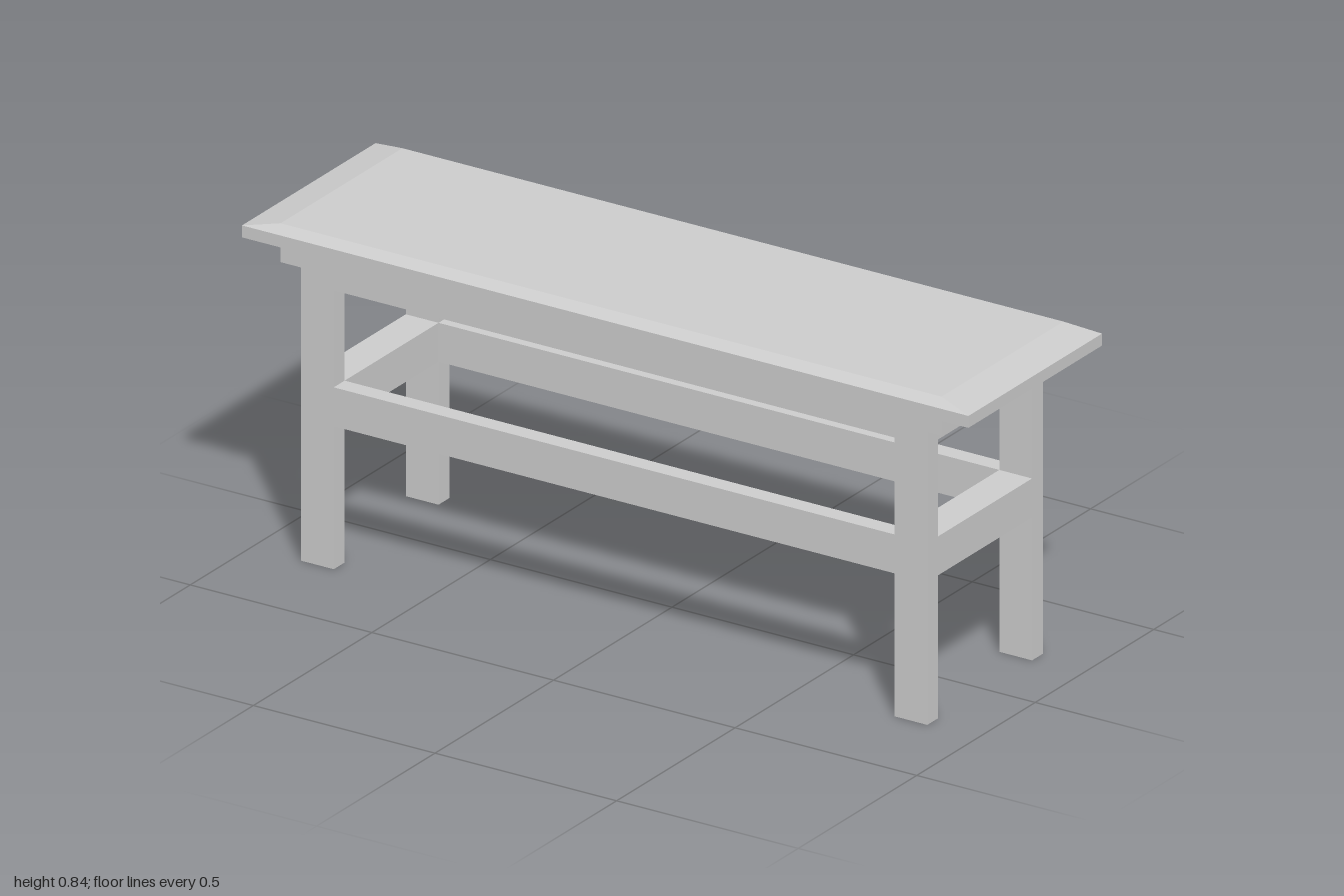
import * as THREE from 'three';

const material = new THREE.MeshStandardMaterial({ color: 0xcccccc, flatShading: true });

function addBox(parent, name, [x0, x1], [y0, y1], [z0, z1]) {
  const mesh = new THREE.Mesh(new THREE.BoxGeometry(x1 - x0, y1 - y0, z1 - z0), material);
  mesh.position.set((x0 + x1) / 2, (y0 + y1) / 2, (z0 + z1) / 2);
  mesh.name = name;
  parent.add(mesh);
}

// Closed solid through stacked rectangles [halfX, y, halfZ], bottom to top
function stackedRectangles(rings) {
  const corners = [[-1, 1], [1, 1], [1, -1], [-1, -1]];
  const positions = rings.flatMap(([hx, y, hz]) => corners.flatMap(([sx, sz]) => [sx * hx, y, sz * hz]));
  const index = [0, 2, 1, 0, 3, 2];
  for (let r = 0; r < rings.length - 1; r++) {
    for (let i = 0; i < 4; i++) {
      const a = r * 4 + i, b = r * 4 + (i + 1) % 4;
      index.push(a, b, b + 4, a, b + 4, a + 4);
    }
  }
  const t = (rings.length - 1) * 4;
  index.push(t, t + 1, t + 2, t, t + 2, t + 3);
  const geometry = new THREE.BufferGeometry();
  geometry.setAttribute('position', new THREE.Float32BufferAttribute(positions, 3));
  geometry.setIndex(index);
  const flat = geometry.toNonIndexed();
  flat.computeVertexNormals();
  return flat;
}

export function createModel() {
  const model = new THREE.Group();
  model.name = 'bench';

  // Seat slab, bevelled above and slightly undercut below
  const seat = new THREE.Mesh(stackedRectangles([
    [0.93, 0.788, 0.262],
    [1, 0.795, 0.282],
    [1, 0.825, 0.282],
    [0.91, 0.843, 0.257],
  ]), material);
  seat.name = 'seat';
  model.add(seat);

  // Moulding under the seat
  addBox(model, 'seatMoulding', [-0.91, 0.91], [0.745, 0.788], [-0.257, 0.257]);

  const legX = [0.772, 0.862], legZ = [0.198, 0.244];
  const mirror = ([a, b], s) => (s > 0 ? [a, b] : [-b, -a]);
  const railLevels = { upper: [0.702, 0.745], lower: [0.36, 0.458] };

  // Four legs
  for (const sx of [-1, 1]) {
    for (const sz of [-1, 1]) {
      const name = (sz > 0 ? 'front' : 'back') + (sx > 0 ? 'Left' : 'Right') + 'Leg';
      addBox(model, name, mirror(legX, sx), [0, 0.745], mirror(legZ, sz));
    }
  }

  // Upper and lower rails, flush with the legs
  for (const [level, y] of Object.entries(railLevels)) {
    for (const s of [-1, 1]) {
      addBox(model, `${level}${s > 0 ? 'Front' : 'Back'}Rail`, [-legX[0], legX[0]], y, mirror(legZ, s));
      addBox(model, `${level}${s > 0 ? 'Left' : 'Right'}Rail`, mirror(legX, s), y, [-legZ[0], legZ[0]]);
    }
  }

  return model;
}
